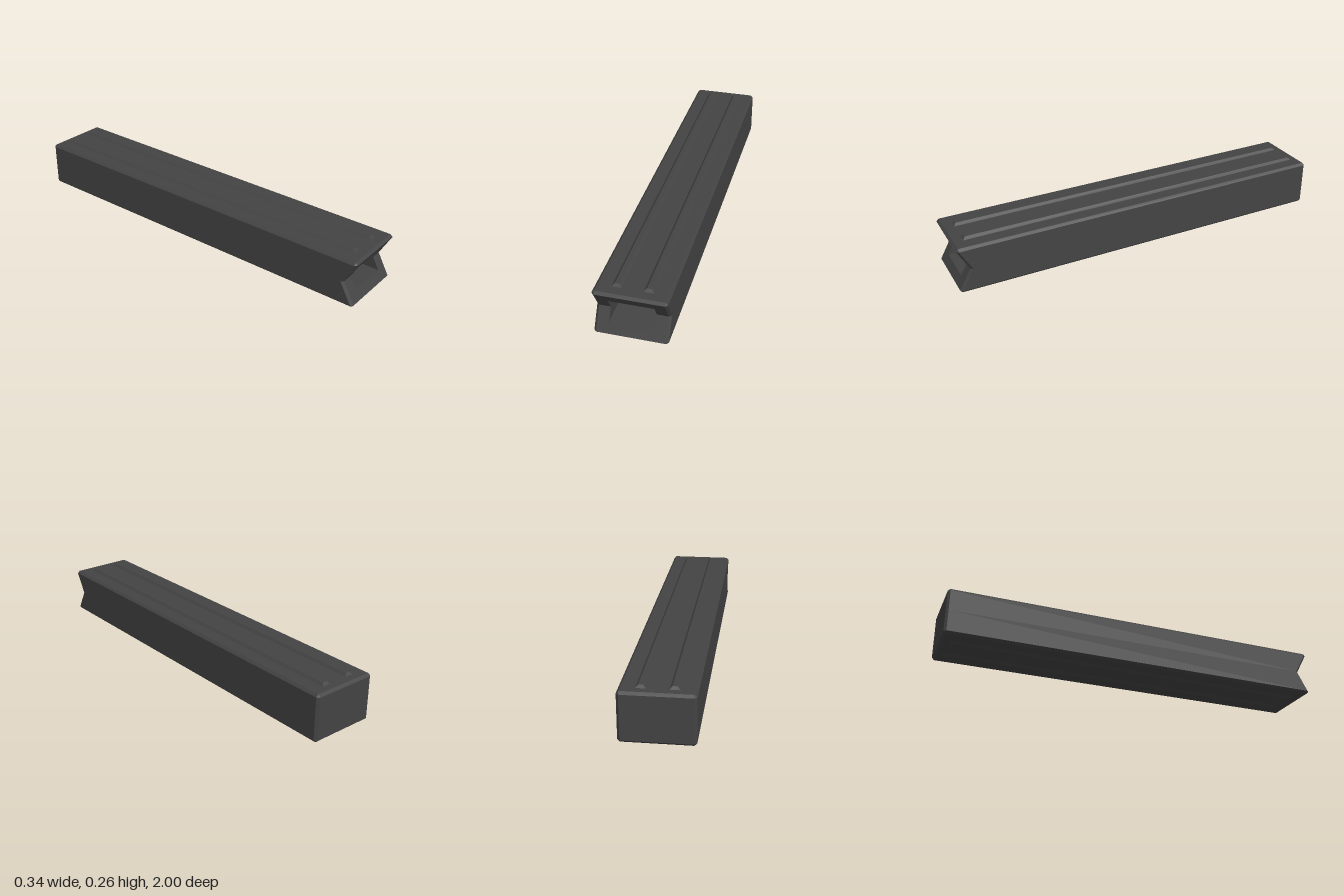
import * as THREE from 'three';

const MID = 0.132, W = 0.172, H = 0.12, BEVEL = 0.012;

// Ten-point outline, counter-clockwise from +z; cut trims its corners
function outline(w, h, cut, zAt) {
  const half = [[w, 0], [w, h - cut], [w - cut, h], [-w + cut, h], [-w, h - cut]];
  const all = [...half, ...half.map(([x, y]) => [-x, -y])];
  return all.map(([x, y]) => new THREE.Vector3(x, y + MID, zAt(y)));
}

// Flat-sided skin between successive outlines, listed front to back
function skin(rings) {
  const pos = [], tri = new THREE.Triangle();
  const add = (a, b, c) => {
    if (tri.set(a, b, c).getArea() > 1e-8) pos.push(...a, ...b, ...c);
  };
  for (let r = 0; r < rings.length - 1; r++) {
    const a = rings[r], b = rings[r + 1];
    for (let i = 0; i < a.length; i++) {
      const j = (i + 1) % a.length;
      add(a[i], b[i], a[j]);
      add(a[j], b[i], b[j]);
    }
  }
  const geometry = new THREE.BufferGeometry();
  geometry.setAttribute('position', new THREE.Float32BufferAttribute(pos, 3));
  geometry.computeVertexNormals();
  return geometry;
}

// Raised strip with all four sides sloping in towards its top
function railGeometry(width, height, length, slope) {
  const geometry = new THREE.BoxGeometry(width, height, length).toNonIndexed();
  const p = geometry.attributes.position;
  for (let i = 0; i < p.count; i++) {
    if (p.getY(i) > 0) {
      p.setX(i, p.getX(i) - Math.sign(p.getX(i)) * slope);
      p.setZ(i, p.getZ(i) - Math.sign(p.getZ(i)) * slope);
    }
  }
  geometry.computeVertexNormals();
  return geometry;
}

export function createModel() {
  const model = new THREE.Group();
  const darkGrey = new THREE.MeshStandardMaterial({ color: 0x444444, flatShading: true });
  darkGrey.name = 'dark grey';

  // Bevelled block with a V-notched front, hollowed by a rectangular socket
  const innerW = W - BEVEL, innerH = H - BEVEL, depth = 0.3;
  const notch = (y) => 0.94 + 0.06 * Math.abs(y) / innerH;
  const socketFloor = (y) => notch(y) - depth;
  const body = new THREE.Mesh(skin([
    outline(0, 0.061, 0, socketFloor),
    outline(0.106, 0.061, 0, socketFloor),
    outline(0.106, 0.061, 0, notch),
    outline(innerW, innerH, 0, notch),
    outline(W, H, BEVEL, (y) => notch(Math.min(Math.abs(y), innerH)) - BEVEL),
    outline(W, H, BEVEL, () => -1 + BEVEL),
    outline(innerW, innerH, 0, () => -1),
    outline(0, innerH, 0, () => -1),
  ]), darkGrey);
  body.name = 'body';
  model.add(body);

  // Two rails on the top and two on the underside
  const railHeight = 0.012;
  const geometry = railGeometry(0.046, railHeight, 1.895, 0.012);
  for (const side of [1, -1]) {
    for (const face of [1, -1]) {
      const rail = new THREE.Mesh(geometry, darkGrey);
      rail.name = (face > 0 ? 'top' : 'bottom') + (side > 0 ? 'Left' : 'Right') + 'Rail';
      rail.position.set(side * 0.073, MID + face * (H + railHeight / 2), -0.005);
      if (face < 0) rail.rotation.z = Math.PI;
      model.add(rail);
    }
  }
  return model;
}
